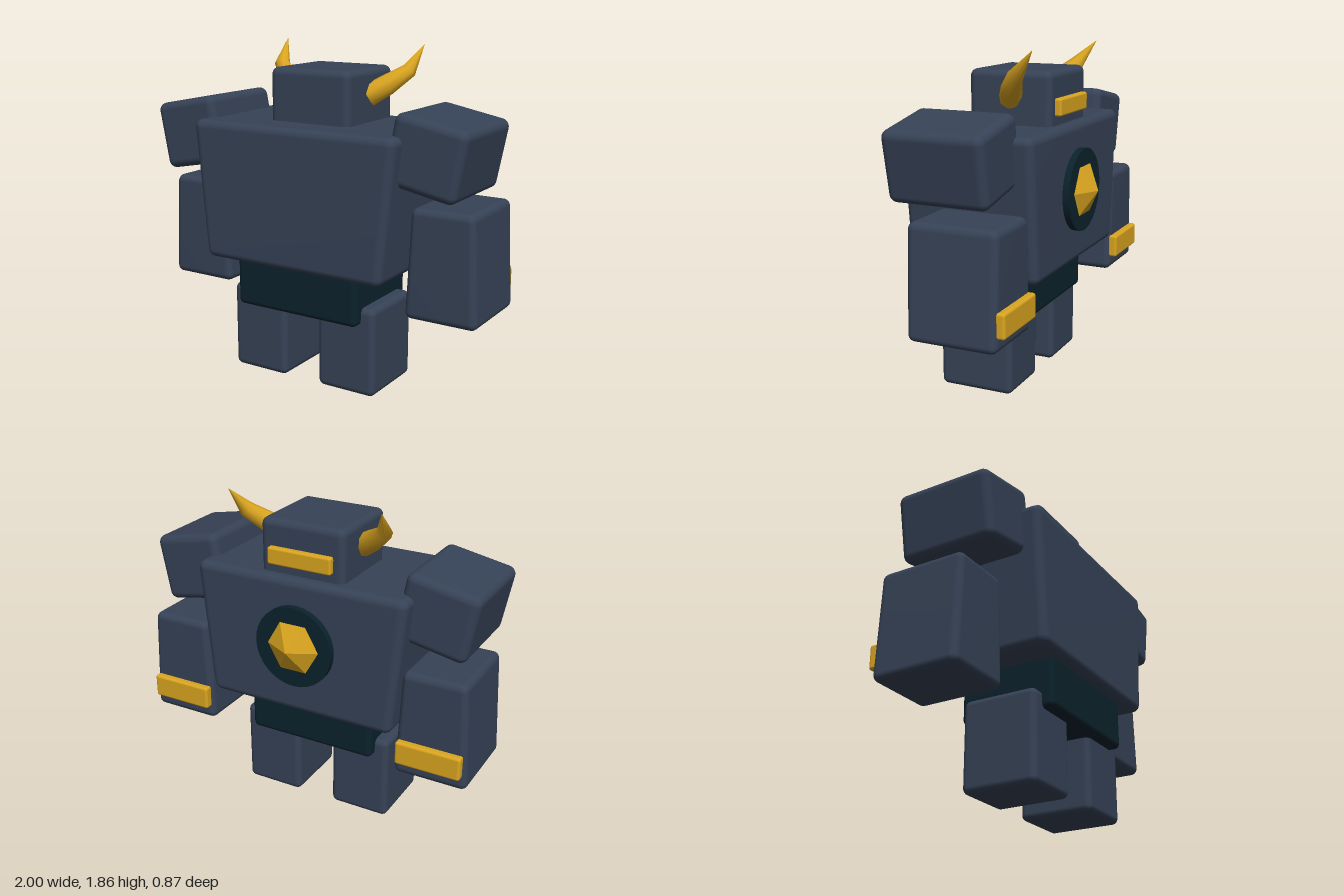
import * as THREE from 'three';
import { RoundedBoxGeometry } from 'three/addons/geometries/RoundedBoxGeometry.js';
import { mergeVertices } from 'three/addons/utils/BufferGeometryUtils.js';

const mat = (name, color) => {
  const m = new THREE.MeshStandardMaterial({ color });
  m.name = name;
  return m;
};

// Rounded block from min/max corners; topScale narrows or widens it in x towards the top
function block(name, material, min, max, radius = 0.04, topScale = 1) {
  const size = max.map((v, i) => v - min[i]);
  let geo = new RoundedBoxGeometry(...size, 4, radius);
  if (topScale !== 1) {
    const p = geo.attributes.position;
    for (let i = 0; i < p.count; i++) {
      p.setX(i, p.getX(i) * THREE.MathUtils.lerp(1, topScale, p.getY(i) / size[1] + 0.5));
    }
    geo.deleteAttribute('normal');
    geo.deleteAttribute('uv');
    geo = mergeVertices(geo, 1e-4);
    geo.computeVertexNormals();
  }
  const mesh = new THREE.Mesh(geo, material);
  mesh.name = name;
  mesh.position.set(...max.map((v, i) => (v + min[i]) / 2));
  return mesh;
}

// Bent horn lofted through rings of [x, y, z, radius]
function hornGeometry(side) {
  const rings = [
    [0.23, 1.59, -0.015, 0.062], [0.32, 1.65, -0.065, 0.058],
    [0.415, 1.725, -0.13, 0.044], [0.45, 1.86, -0.24, 0.001],
  ];
  const centres = rings.map(r => new THREE.Vector3(r[0] * side, r[1], r[2]));
  const sides = 8, pos = [], index = [];
  rings.forEach((ring, i) => {
    const dir = centres[Math.min(i + 1, 3)].clone().sub(centres[Math.max(i - 1, 0)]).normalize();
    const u = new THREE.Vector3(0, 0, 1).cross(dir).normalize();
    const v = dir.clone().cross(u);
    for (let j = 0; j < sides; j++) {
      const a = j / sides * Math.PI * 2;
      const p = centres[i].clone().addScaledVector(u, Math.cos(a) * ring[3]).addScaledVector(v, Math.sin(a) * ring[3]);
      pos.push(p.x, p.y, p.z);
      if (i < 3) {
        const k = (j + 1) % sides, b = i * sides, t = b + sides;
        index.push(b + j, b + k, t + k, b + j, t + k, t + j);
      }
    }
  });
  const geo = new THREE.BufferGeometry();
  geo.setAttribute('position', new THREE.Float32BufferAttribute(pos, 3));
  geo.setIndex(index);
  geo.computeVertexNormals();
  return geo;
}

export function createModel() {
  const model = new THREE.Group();
  model.name = 'hornedGolem';
  const stone = mat('slateStone', 0x364256);
  const dark = mat('darkTeal', 0x0b222c);
  const gold = mat('gold', 0xdaa520);

  // Body and head, with the face towards -z
  model.add(
    block('torso', stone, [-0.56, 0.67, -0.318], [0.56, 1.45, 0.43], 0.045, 1.135),
    block('pelvis', dark, [-0.387, 0.405, -0.18], [0.387, 0.75, 0.37], 0.03),
    block('head', stone, [-0.25, 1.40, -0.255], [0.25, 1.74, 0.225], 0.04),
    block('visor', gold, [-0.19, 1.5, -0.29], [0.19, 1.595, -0.235], 0.012),
  );

  // Chest emblem: round plate with a six-sided gem
  const plate = new THREE.Mesh(new THREE.CylinderGeometry(0.23, 0.23, 0.06, 32), dark);
  plate.name = 'chestPlate';
  plate.rotation.x = -Math.PI / 2;
  plate.position.set(0, 1.08, -0.325);
  const gemGeo = new THREE.ConeGeometry(0.155, 0.08, 6).toNonIndexed();
  gemGeo.computeVertexNormals();
  gemGeo.rotateY(Math.PI / 2);
  const gem = new THREE.Mesh(gemGeo, gold);
  gem.name = 'chestGem';
  gem.rotation.x = -Math.PI / 2;
  gem.position.set(0, 1.08, -0.395);
  model.add(plate, gem);

  // Paired parts
  for (const side of [1, -1]) {
    const label = side > 0 ? 'left' : 'right';
    const pair = (name, material, min, max, radius, topScale) => {
      const mesh = block(label + name, material, min, max, radius, topScale);
      mesh.position.x *= side;
      model.add(mesh);
      return mesh;
    };
    pair('Leg', stone, [0.108, 0, -0.12], [0.463, 0.5, 0.308], 0.035);
    pair('Forearm', stone, [0.58, 0.45, -0.297], [1.0, 1.06, 0.2], 0.04, 0.85);
    pair('WristBand', gold, [0.603, 0.53, -0.335], [0.973, 0.665, -0.28], 0.015);
    const shoulder = pair('Shoulder', stone, [0.542, 1.158, -0.22], [0.952, 1.538, 0.335], 0.045);
    shoulder.rotation.z = -side * 0.19;
    const horn = new THREE.Mesh(hornGeometry(side), gold);
    horn.name = label + 'Horn';
    model.add(horn);
  }
  return model;
}
